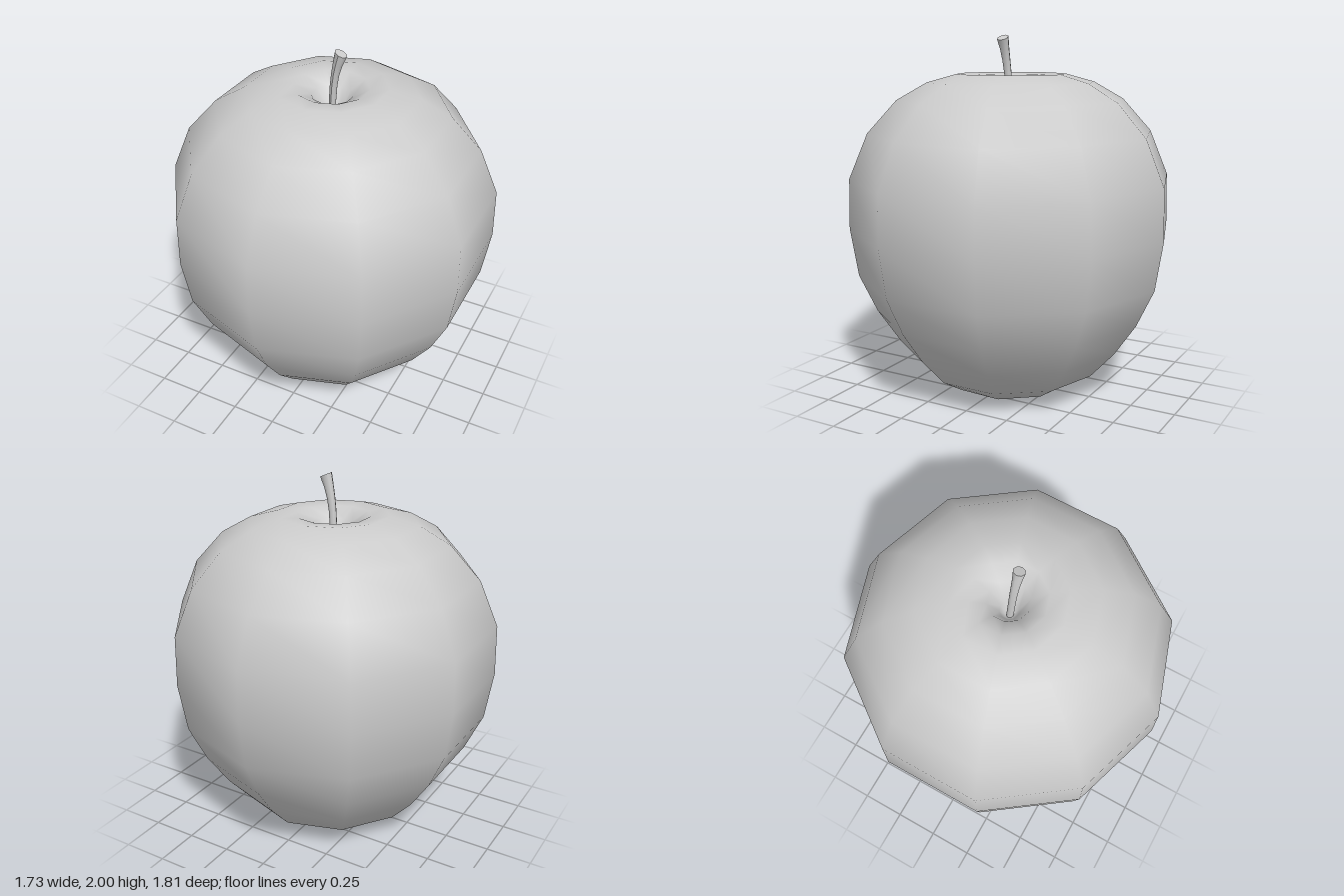
import * as THREE from 'three';
import { mergeVertices } from 'three/addons/utils/BufferGeometryUtils.js';

const material = new THREE.MeshStandardMaterial({ color: 0xcccccc });
const thin = new THREE.MeshStandardMaterial({ color: 0xcccccc, side: THREE.DoubleSide });

function add(group, name, geometry, mat = material) {
  const mesh = new THREE.Mesh(geometry, mat);
  mesh.name = name;
  group.add(mesh);
  return mesh;
}

// Ten-sided turned body with a deep stem hollow and a shallow, uneven underside
function bodyGeometry() {
  const profile = [
    [0, 0.14], [0.05, 0.12], [0.12, 0.06], [0.26, 0.008], [0.38, 0.045], [0.505, 0.125],
    [0.645, 0.28], [0.767, 0.46], [0.865, 0.67], [0.907, 0.94], [0.9, 1.22], [0.795, 1.47],
    [0.632, 1.65], [0.465, 1.745], [0.302, 1.79], [0.2, 1.782], [0.11, 1.735], [0.05, 1.62], [0, 1.54],
  ].map(([r, y]) => new THREE.Vector2(r, y));
  let g = new THREE.LatheGeometry(profile, 10);

  // Raise some corners of the bottom rim to form soft lobes
  const lift = [0.008, 0.018, 0.008, -0.004, 0.004, 0.032, 0.004, 0.004, 0.012, 0.006];
  const p = g.attributes.position;
  for (let i = 0; i < p.count; i++) {
    const x = p.getX(i), y = p.getY(i), z = p.getZ(i), r = Math.hypot(x, z);
    if (y > 0.2 || r < 0.1) continue;
    const side = (Math.round(Math.atan2(x, z) / (Math.PI / 5)) + 10) % 10;
    const weight = Math.max(0, 1 - Math.abs(r - 0.27) / 0.24);
    p.setY(i, y + lift[side] * weight);
  }
  // Weld the seam so that shading runs smoothly all the way round
  g.deleteAttribute('uv');
  g.deleteAttribute('normal');
  g = mergeVertices(g, 1e-4);
  g.computeVertexNormals();
  return g;
}

// Bent stem that widens to a slanted cut end
function stemGeometry() {
  const path = new THREE.CatmullRomCurve3([
    new THREE.Vector3(0, 1.5, 0), new THREE.Vector3(0.005, 1.66, 0.008),
    new THREE.Vector3(0.016, 1.8, 0.014), new THREE.Vector3(0.034, 1.9, 0.018),
    new THREE.Vector3(0.06, 1.985, 0.02),
  ]);
  const g = new THREE.CylinderGeometry(1, 1, 1, 8, 6);
  const p = g.attributes.position;
  for (let i = 0; i < p.count; i++) {
    const t = p.getY(i) + 0.5;
    const c = path.getPoint(t);
    const r = 0.02 + 0.012 * t ** 4;
    const x = p.getX(i) * r;
    p.setXYZ(i, c.x + x, c.y - x * 0.45 * t, c.z + p.getZ(i) * r);
  }
  g.computeVertexNormals();
  return g;
}

// Narrow pointed leaf, creased along its middle and curling downward
function sepalGeometry() {
  const points = [];
  const rows = [[0.005, 0.125, 0.012], [0.03, 0.085, 0.018], [0.055, 0.065, 0.012], [0.085, 0.058, 0.001]];
  for (const [z, y, w] of rows) points.push(-w, y, z, 0, y + 0.006, z, w, y, z);
  const index = [];
  for (let r = 0; r < rows.length - 1; r++) {
    for (let k = 0; k < 2; k++) {
      const a = r * 3 + k;
      index.push(a, a + 1, a + 3, a + 1, a + 4, a + 3);
    }
  }
  const g = new THREE.BufferGeometry();
  g.setAttribute('position', new THREE.Float32BufferAttribute(points, 3));
  g.setIndex(index);
  g.computeVertexNormals();
  return g;
}

export function createModel() {
  const apple = new THREE.Group();
  apple.name = 'apple';
  add(apple, 'body', bodyGeometry());
  add(apple, 'stem', stemGeometry());

  // Dried blossom in the bottom hollow
  const calyx = new THREE.Group();
  calyx.name = 'calyx';
  const sepal = sepalGeometry();
  for (let i = 0; i < 5; i++) {
    const leaf = add(calyx, 'sepal', sepal, thin);
    leaf.rotation.y = (i / 5) * Math.PI * 2 + 0.6;
    leaf.scale.setScalar(1 - 0.1 * (i % 2));
  }
  apple.add(calyx);
  return apple;
}
